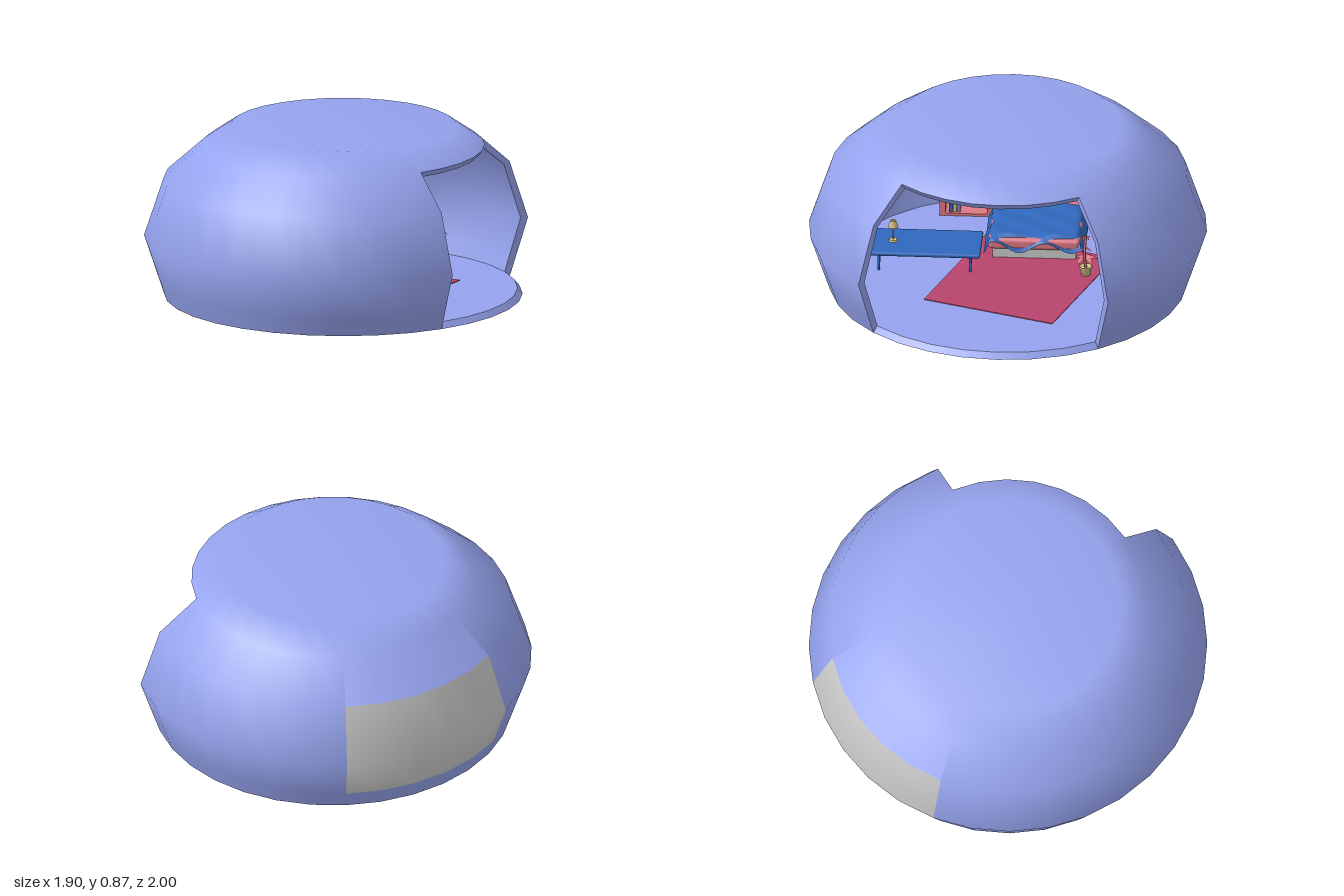
import * as THREE from 'three';
import { RoundedBoxGeometry } from 'three/addons/geometries/RoundedBoxGeometry.js';

const mat = (color) => new THREE.MeshStandardMaterial({ color, side: THREE.DoubleSide });
const M = {
  shell: mat(0x95a3ee), grey: mat(0xcccccc), blue: mat(0x3068bd), pink: mat(0xdd7884),
  rug: mat(0xb8446c), tan: mat(0xd0bd80), pot: mat(0x7a8ac0), soft: mat(0x8093d8),
};
const rad = THREE.MathUtils.degToRad;
const STEP = 11.25; // the dome has 32 sides

function add(parent, name, geometry, material, x = 0, y = 0, z = 0, yaw = 0) {
  const mesh = new THREE.Mesh(geometry, material);
  mesh.name = name;
  mesh.position.set(x, y, z);
  mesh.rotation.y = yaw;
  parent.add(mesh);
  return mesh;
}
function makeGroup(parent, name, x = 0, y = 0, z = 0, yaw = 0) {
  const g = new THREE.Group();
  g.name = name;
  g.position.set(x, y, z);
  g.rotation.y = yaw;
  parent.add(g);
  return g;
}
const box = (w, h, d) => new THREE.BoxGeometry(w, h, d);

// Revolves a [radius, height] profile between two angles, measured from +x towards +z
function sweep(profile, from, to) {
  const pts = profile.map(([r, y]) => new THREE.Vector2(r, y));
  return new THREE.LatheGeometry(pts, Math.round((to - from) / STEP), rad(90 - to), rad(to - from));
}

function buildShell(parent) {
  const shell = makeGroup(parent, 'domeShell');
  const outer = [[0.9, 0], [0.93, 0.09], [1, 0.3], [0.9, 0.6], [0.71, 0.77], [0.565, 0.87], [0, 0.87]];
  const inner = [[0.865, 0], [0.892, 0.09], [0.96, 0.3], [0.87, 0.585], [0.69, 0.74], [0.54, 0.84], [0, 0.84]];
  const open = [-3 * STEP, 4 * STEP];
  const win = [191.25, 247.5];
  for (const [side, p] of [['outer', outer], ['inner', inner]]) {
    add(shell, side + 'FrontWall', sweep(p, open[1], win[0]), M.shell);
    add(shell, side + 'BackWall', sweep(p, win[1], 360 + open[0]), M.shell);
    add(shell, side + 'WindowSill', sweep(p.slice(0, 2), ...win), M.shell);
    add(shell, side + 'WindowPane', sweep(p.slice(1, 4), ...win), M.grey);
    add(shell, side + 'RoofOverWindow', sweep(p.slice(3), ...win), M.shell);
    add(shell, side + 'RoofOverOpening', sweep(p.slice(4), ...open), M.shell);
  }
  // Cut edges of the wall around the opening
  const section = new THREE.Shape([...outer.slice(0, 5), ...inner.slice(0, 5).reverse()]
    .map(([r, y]) => new THREE.Vector2(r, y)));
  for (const a of open) add(shell, 'openingJamb', new THREE.ShapeGeometry(section), M.shell, 0, 0, 0, -rad(a));
  add(shell, 'openingLintel', sweep([outer[4], inner[4]], ...open), M.shell);
  add(shell, 'floor', new THREE.CylinderGeometry(0.875, 0.9, 0.03, 32), M.shell, 0, 0.015, 0);
}

function buildBed(parent) {
  const bed = makeGroup(parent, 'bed', -0.45, 0.03, -0.12);
  add(bed, 'bedBase', box(0.54, 0.055, 0.42), M.grey, 0, 0.032, 0);
  add(bed, 'mattress', new RoundedBoxGeometry(0.58, 0.06, 0.46, 3, 0.02), M.pink, 0, 0.085, 0);
  // Blanket: a sheet that drops past the mattress edges with a wavy hem
  const sheet = new THREE.PlaneGeometry(0.46, 0.66, 20, 28).rotateX(-Math.PI / 2);
  const p = sheet.attributes.position;
  for (let i = 0; i < p.count; i++) {
    const x = p.getX(i), z = p.getZ(i);
    const dz = Math.max(0, Math.abs(z) - 0.22), dx = Math.max(0, x - 0.13);
    const wave = 0.008 * Math.sin(x * 38) * Math.cos(z * 27);
    const drop = Math.max(dz, dx * (0.65 + 0.35 * Math.sin(z * 24)));
    p.setXYZ(i, x - dx * 0.6, 0.126 + wave - drop * 0.8, Math.sign(z) * (Math.abs(z) - dz * 0.7));
  }
  sheet.computeVertexNormals();
  add(bed, 'blanket', sheet, M.blue, 0.13, 0, 0);
  const a = add(bed, 'bluePillow', new RoundedBoxGeometry(0.13, 0.07, 0.22, 4, 0.033), M.soft, -0.17, 0.165, 0.03);
  a.rotation.x = 0.12;
  const b = add(bed, 'pinkPillow', new RoundedBoxGeometry(0.12, 0.09, 0.2, 4, 0.04), M.pink, -0.15, 0.205, -0.11);
  b.rotation.x = -0.55;
}

function buildBookcase(parent) {
  const c = makeGroup(parent, 'bookcase', -0.7, 0.03, 0.25);
  const w = 0.27, h = 0.31, d = 0.13;
  for (const s of [-1, 1]) add(c, 'bookcaseSide', box(d, h, 0.03), M.pink, 0, h / 2, s * (w / 2 - 0.015));
  add(c, 'bookcaseBack', box(0.012, h, w), M.pink, -d / 2, h / 2, 0);
  for (let i = 0; i < 5; i++) add(c, 'shelf', box(d, 0.014, w), M.pink, 0, 0.007 + i * 0.074, 0);
  // Rows of books of varied height
  const colors = [M.blue, M.tan, M.soft, M.blue, M.grey];
  for (const [row, start, count] of [[0, 0.08, 3], [1, -0.02, 4], [3, 0.08, 5]])
    for (let i = 0; i < count; i++) {
      const bh = 0.04 + 0.006 * ((i * 2 + row) % 3);
      add(c, 'book', box(0.08, bh, 0.017), colors[(i + row) % 5], 0.01, 0.014 + row * 0.074 + bh / 2, start - i * 0.02);
    }
  add(c, 'ornament', new THREE.SphereGeometry(0.02, 16, 10), M.rug, 0.02, 0.182, 0.06);
}

function buildTable(parent) {
  const t = makeGroup(parent, 'table', -0.12, 0.03, 0.42);
  add(t, 'tableTop', new RoundedBoxGeometry(0.28, 0.022, 0.56, 3, 0.01), M.blue, 0, 0.1, 0);
  for (const sx of [-1, 1]) for (const sz of [-1, 1])
    add(t, 'tableLeg', new THREE.CylinderGeometry(0.008, 0.006, 0.09, 8), M.blue, sx * 0.11, 0.045, sz * 0.23);
  // Table lamp
  const lamp = makeGroup(t, 'lamp', 0, 0.111, 0.165);
  add(lamp, 'lampFoot', new THREE.CylinderGeometry(0.02, 0.024, 0.008, 16), M.tan, 0, 0.004, 0);
  add(lamp, 'lampStem', new THREE.CylinderGeometry(0.004, 0.004, 0.08, 8), M.tan, 0, 0.045, 0);
  add(lamp, 'lampShade', new THREE.CylinderGeometry(0.014, 0.026, 0.035, 16, 1, true), M.tan, 0, 0.095, 0);
}

// Thin pointed leaf that arches outwards and droops, growing along +x
function leafGeometry(length, width) {
  const g = new THREE.PlaneGeometry(1, 1, 6, 2).rotateX(-Math.PI / 2);
  const p = g.attributes.position;
  for (let i = 0; i < p.count; i++) {
    const u = p.getX(i) + 0.5, v = p.getZ(i) * 2;
    const half = width * Math.sin(Math.PI * Math.pow(u, 0.8)) / 2;
    p.setXYZ(i, u * length, length * (0.75 * u - 0.8 * u * u) + Math.abs(v) * half * 0.3, v * half);
  }
  g.computeVertexNormals();
  return g;
}

function buildPlant(parent, name, x, z, height, potMat, leafMat, potR, spread) {
  const plant = makeGroup(parent, name, x, 0.03, z);
  const ph = potR * 1.5;
  const profile = [[0, 0], [0.65, 0], [0.85, 1.2], [1, 1.2], [1, 1.5], [0.85, 1.5], [0.8, 1.3], [0, 1.3]];
  add(plant, 'pot', new THREE.LatheGeometry(profile.map(([r, y]) => new THREE.Vector2(r * potR, y * potR)), 16), potMat);
  const sway = new THREE.CatmullRomCurve3([[0, 0.8 * ph, 0], [0.012, height * 0.5, 0.006], [0, height * 0.97, 0]]
    .map((q) => new THREE.Vector3(...q)));
  add(plant, 'stem', new THREE.TubeGeometry(sway, 10, 0.007, 6), leafMat);
  // Tiers: [height fraction, leaf count, length scale]
  for (const [f, n, s] of [[0.36, 5, 1], [0.62, 3, 0.5], [0.9, 5, 0.42]])
    for (let i = 0; i < n; i++)
      add(plant, 'leaf', leafGeometry(spread * s, spread * s * 0.55), leafMat, 0, height * f, 0, i * 2 * Math.PI / n + f * 5);
}

// Closed carton with a tape strip around it
function buildCarton(parent, name, w, h, d, material, x, y, z, yaw) {
  const c = makeGroup(parent, name, x, y, z, yaw);
  add(c, 'carton', box(w, h, d), material, 0, h / 2, 0);
  add(c, 'tape', box(w * 0.12, h + 0.004, d + 0.004), material, 0, h / 2, 0);
  add(c, 'lid', box(w + 0.01, h * 0.18, d + 0.01), material, 0, h * 0.92, 0);
}

export function createModel() {
  const model = new THREE.Group();
  model.name = 'domeRoom';
  const room = makeGroup(model, 'room', 0.045, 0, 0);
  buildShell(room);

  // Rug lies turned, with one corner towards the opening
  add(room, 'rug', box(0.8, 0.004, 0.7), M.rug, 0.05, 0.032, -0.06, -rad(19.4));

  buildBed(room);
  buildBookcase(room);
  buildTable(room);
  buildCarton(room, 'largeCarton', 0.23, 0.15, 0.15, M.tan, 0.06, 0.03, -0.61, rad(48));
  buildCarton(room, 'smallCarton', 0.15, 0.08, 0.11, M.pink, 0.08, 0.18, -0.62, rad(25));
  buildPlant(room, 'largePlant', 0.286, -0.61, 0.37, M.pot, M.blue, 0.055, 0.13);
  buildPlant(room, 'smallPlant', -0.015, -0.39, 0.23, M.tan, M.pink, 0.034, 0.065);
  return model;
}
